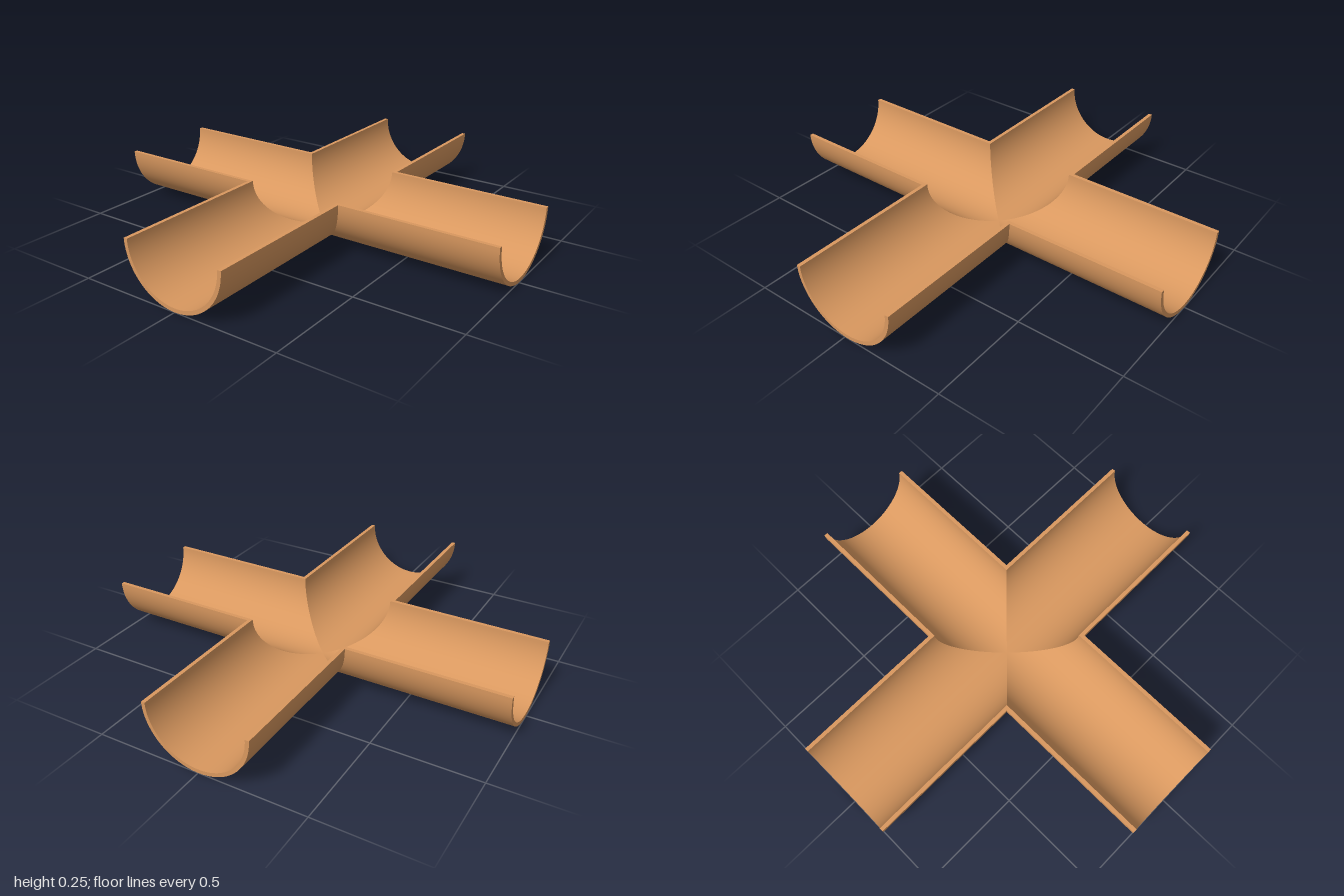
import * as THREE from 'three';

const OUTER = 0.253, INNER = 0.235, STEPS = 48;
const CENTRE_Z = -0.0125; // the crosswise trough sits slightly behind the middle

// Point of the half-round section: t runs 0..1 from the left rim through the bottom to the right rim
function arcPoint(radius, t) {
  const a = Math.PI * (1 + t);
  return [radius * Math.cos(a), OUTER + radius * Math.sin(a)];
}

// Strip of quads between two equally long rows of 3D points
function strip(rowA, rowB) {
  const index = [], n = rowA.length;
  for (let i = 0; i < n - 1; i++) {
    index.push(i, i + 1, n + i + 1, i, n + i + 1, n + i);
  }
  const geometry = new THREE.BufferGeometry();
  geometry.setAttribute('position', new THREE.Float32BufferAttribute([...rowA, ...rowB].flat(), 3));
  geometry.setIndex(index);
  geometry.computeVertexNormals();
  return geometry;
}

// One half-pipe arm along +z, its inner end mitred at 45 degrees to meet its neighbours
function createArm(length, material) {
  const ts = Array.from({ length: STEPS + 1 }, (_, i) => i / STEPS);
  const outer = ts.map(t => arcPoint(OUTER, t));
  const inner = ts.map(t => arcPoint(INNER, t)).reverse();
  const near = row => row.map(([s, y]) => [s, y, Math.abs(s)]);
  const far = row => row.map(([s, y]) => [s, y, length]);
  const rightRim = [outer[STEPS], inner[0]];
  const leftRim = [inner[STEPS], outer[0]];

  const arm = new THREE.Group();
  const add = (name, rowA, rowB) => {
    const mesh = new THREE.Mesh(strip(rowA, rowB), material);
    mesh.name = name;
    arm.add(mesh);
  };
  add('outerWall', near(outer), far(outer));
  add('innerWall', near(inner), far(inner));
  add('rightRim', near(rightRim), far(rightRim));
  add('leftRim', near(leftRim), far(leftRim));
  add('openEnd', far(outer), far([...inner].reverse()));
  return arm;
}

export function createModel() {
  const model = new THREE.Group();
  model.name = 'crossTrough';
  const material = new THREE.MeshStandardMaterial({ color: 0xd9985f, side: THREE.DoubleSide });

  // Four arms, each turned a quarter further
  const arms = [
    ['frontArm', 1 - CENTRE_Z],
    ['leftArm', 1],
    ['backArm', 1 + CENTRE_Z],
    ['rightArm', 1],
  ];
  arms.forEach(([name, length], i) => {
    const arm = createArm(length, material);
    arm.name = name;
    arm.rotation.y = i * Math.PI / 2;
    arm.position.z = CENTRE_Z;
    model.add(arm);
  });
  return model;
}
